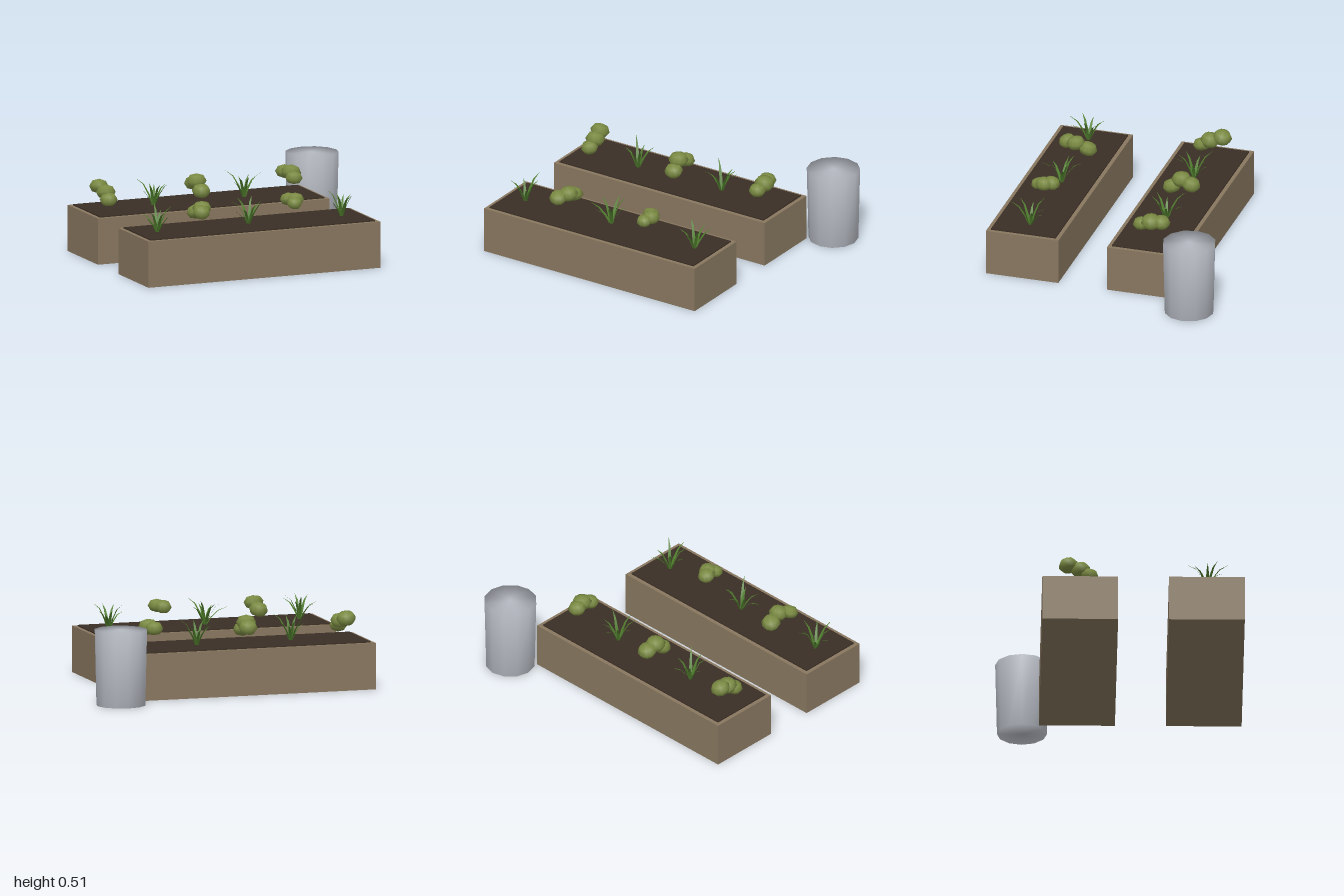
import * as THREE from 'three';
import { mergeVertices } from 'three/addons/utils/BufferGeometryUtils.js';

const mat = (name, color, extra = {}) => {
  const m = new THREE.MeshStandardMaterial({ color, ...extra });
  m.name = name;
  return m;
};

export function createModel() {
  const wood = mat('weathered wood', 0x88775f);
  const soil = mat('dark soil', 0x3a2f25);
  const metal = mat('grey metal', 0xb6bac2);
  const bushGreen = mat('olive foliage', 0x7a8a42);
  const grassGreen = mat('grass green', 0x4f7c2c, { side: THREE.DoubleSide });

  const model = new THREE.Group();
  model.name = 'planterBedsAndBarrel';
  const add = (parent, name, geometry, material, x = 0, y = 0, z = 0) => {
    const mesh = new THREE.Mesh(geometry, material);
    mesh.name = name;
    mesh.position.set(x, y, z);
    parent.add(mesh);
    return mesh;
  };

  // One tuft blade: a tapering strip arching outward from the root along +x
  const bladeGeometry = (reach, height, width) => {
    const rows = [[0, 0, 0.7], [0.22, 0.42, 1], [0.55, 0.8, 0.65], [1, 1, 0.04]];
    const pos = [], idx = [];
    rows.forEach(([r, h, w], i) => {
      for (const s of [1, -1]) pos.push(0.008 + r * reach, h * height, s * w * width / 2);
      if (i) {
        const a = 2 * i - 2;
        idx.push(a, a + 1, a + 2, a + 1, a + 3, a + 2);
      }
    });
    const g = new THREE.BufferGeometry();
    g.setAttribute('position', new THREE.Float32BufferAttribute(pos, 3));
    g.setIndex(idx);
    g.computeVertexNormals();
    return g;
  };

  // Grass tufts: x, z, then the flat offset [dx, dz] of each blade tip
  const tufts = [
    [-0.83, 0.57, [[-0.11, 0], [0.1, 0], [-0.01, 0.13], [0.08, 0.1], [-0.07, -0.08], [0.03, -0.12], [-0.07, 0.06], [0.05, -0.06]]],
    [-0.16, 0.55, [[-0.16, 0], [0.08, 0.11], [-0.02, -0.13], [0.1, -0.04], [-0.07, 0.08], [0.05, -0.07], [-0.1, -0.05], [0.02, 0.06]]],
    [0.51, 0.56, [[-0.1, 0.01], [0.08, 0.07], [0.0, 0.13], [0.08, -0.04], [0.06, -0.11], [-0.07, -0.07], [-0.06, 0.08], [0.01, -0.1]]],
    [-0.49, -0.27, [[-0.1, -0.01], [0.09, 0.1], [0.0, 0.1], [0.09, -0.02], [0.05, -0.11], [-0.08, -0.1], [-0.06, 0.07], [0.0, -0.07]]],
    [0.17, -0.28, [[-0.09, 0.02], [0.1, 0.05], [-0.01, 0.1], [0.1, -0.03], [0.01, -0.11], [-0.09, -0.1], [-0.07, 0.08], [0.06, -0.07]]],
  ];
  tufts.forEach(([x, z, tips]) => {
    const tuft = new THREE.Group();
    tuft.name = 'grassTuft';
    tuft.position.set(x, 0.315, z);
    tips.forEach(([dx, dz], i) => {
      const height = 0.12 + 0.018 * ((i * 3) % 4);
      const blade = add(tuft, 'grassBlade', bladeGeometry(Math.hypot(dx, dz), height, 0.021), grassGreen);
      blade.rotation.y = Math.atan2(-dz, dx);
    });
    model.add(tuft);
  });

  // Bushes: rounded clumps given as x, y, z, radius
  const bushes = [
    [[-0.85, 0.46, -0.355, 0.066], [-0.835, 0.435, -0.275, 0.067], [-0.84, 0.395, -0.215, 0.06]],
    [[-0.165, 0.43, -0.35, 0.065], [-0.175, 0.455, -0.28, 0.068], [-0.17, 0.4, -0.215, 0.063]],
    [[0.49, 0.455, -0.345, 0.062], [0.51, 0.46, -0.28, 0.068], [0.5, 0.435, -0.21, 0.058]],
    [[-0.51, 0.415, 0.475, 0.065], [-0.5, 0.45, 0.555, 0.065], [-0.535, 0.44, 0.625, 0.06]],
    [[0.14, 0.457, 0.525, 0.058], [0.17, 0.46, 0.57, 0.06], [0.145, 0.445, 0.615, 0.052]],
  ];
  const clump = new THREE.SphereGeometry(1, 10, 4);
  bushes.forEach((clumps, b) => {
    const bush = new THREE.Group();
    bush.name = 'bush';
    clumps.forEach(([x, y, z, r], i) => {
      const m = add(bush, 'bushClump', clump, bushGreen, x, y, z);
      m.scale.set(r, r * 0.75, r);
      m.rotation.set(0.25 * (i - 1), b + i * 1.3, 0.15 * (b % 3 - 1));
    });
    model.add(bush);
  });

  // Two raised beds with soil standing just proud of the timber
  for (const z of [-0.278, 0.564]) {
    const bed = new THREE.Group();
    bed.name = 'raisedBed';
    bed.position.set(-0.16, 0, z);
    add(bed, 'timberBox', new THREE.BoxGeometry(1.68, 0.312, 0.504), wood, 0, 0.156, 0);
    add(bed, 'soilBed', new THREE.BoxGeometry(1.625, 0.04, 0.45), soil, 0, 0.3, 0);
    model.add(bed);
  }

  // Tapered barrel with normals shared across the rims for a soft look
  let barrel = new THREE.CylinderGeometry(0.178, 0.166, 0.506, 12);
  barrel.deleteAttribute('normal');
  barrel.deleteAttribute('uv');
  barrel = mergeVertices(barrel, 1e-4);
  barrel.computeVertexNormals();
  add(model, 'barrel', barrel, metal, 0.82, 0.253, -0.642);

  return model;
}
